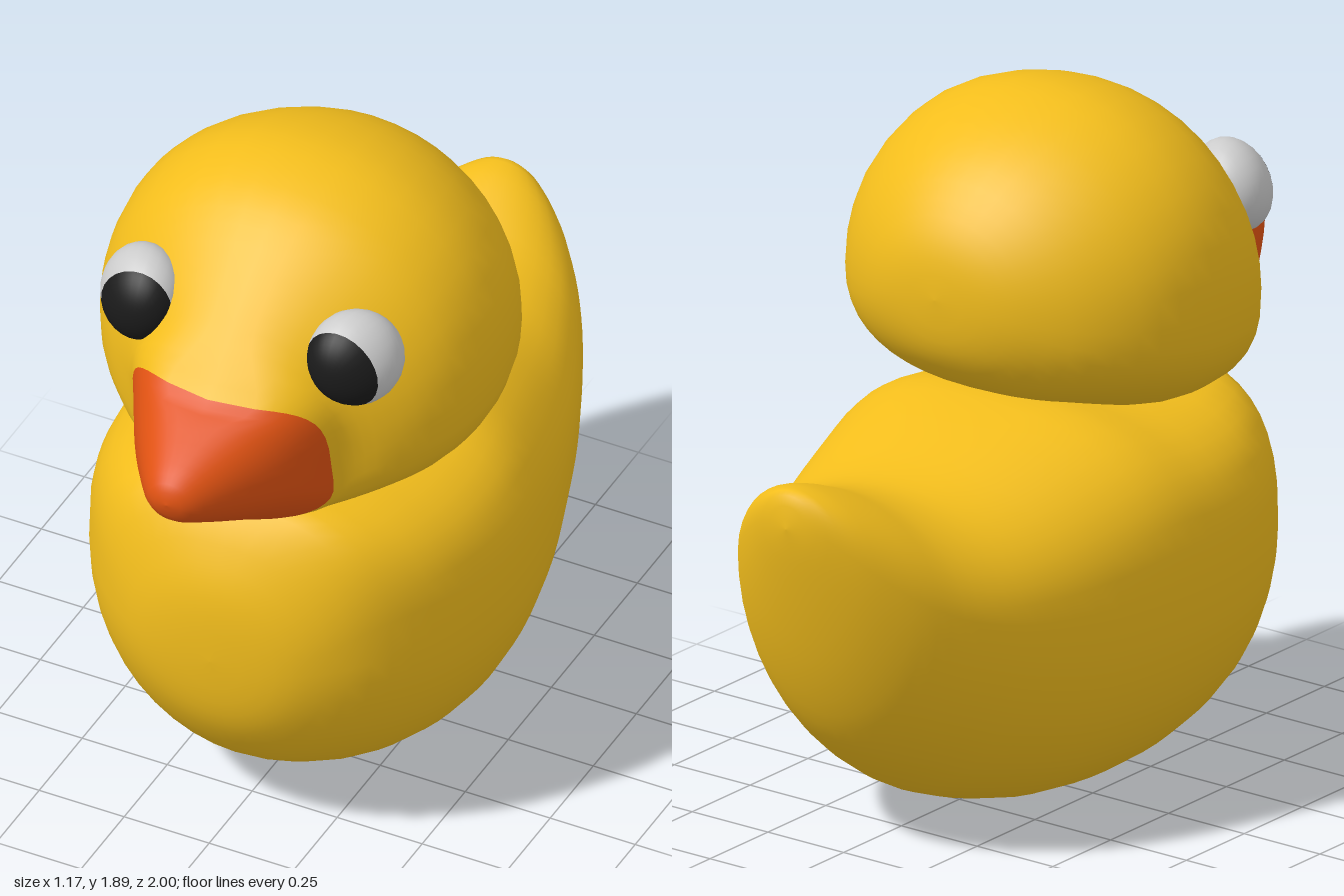
import * as THREE from 'three';

const yellow = new THREE.MeshStandardMaterial({ color: 0xf2bd1c });
const orange = new THREE.MeshStandardMaterial({ color: 0xe05212 });
const white = new THREE.MeshStandardMaterial({ color: 0xdddddd });
const black = new THREE.MeshStandardMaterial({ color: 0x1a1a1a });

const SIDES = 40; // points round a cross-section
const STEPS = 3; // rings per station

// Stations from back to front:
// z, bottom, top, half width, height of widest point, top roundness, bottom roundness, bend
const BODY = [
  [-1.0, 0.98, 0.98, 0, 0.98, 2, 2, 0],
  [-0.985, 0.88, 1.07, 0.09, 0.98, 2, 2, 0],
  [-0.94, 0.7, 1.08, 0.175, 0.92, 2, 2, 0],
  [-0.88, 0.52, 1.068, 0.245, 0.85, 2, 2, 0],
  [-0.8, 0.36, 1.04, 0.31, 0.78, 2, 2, 0],
  [-0.7, 0.245, 1.0, 0.365, 0.72, 2, 2, 0],
  [-0.58, 0.15, 0.975, 0.42, 0.68, 2.1, 2, 0],
  [-0.45, 0.08, 0.99, 0.468, 0.66, 2.2, 2.1, 0],
  [-0.25, 0.02, 1.045, 0.53, 0.65, 2.4, 2.2, 0],
  [-0.05, 0, 1.08, 0.572, 0.65, 2.7, 2.2, 0],
  [0.13, 0.012, 1.05, 0.583, 0.65, 2.9, 2.2, 0],
  [0.3, 0.05, 1.04, 0.56, 0.65, 3, 2.2, 0],
  [0.45, 0.1, 1.045, 0.505, 0.64, 3, 2.1, 0],
  [0.6, 0.2, 1.03, 0.4, 0.63, 2.8, 2, 0],
  [0.7, 0.34, 0.88, 0.265, 0.61, 2.2, 2, 0],
  [0.738, 0.46, 0.75, 0.14, 0.6, 2, 2, 0],
  [0.747, 0.6, 0.6, 0, 0.6, 2, 2, 0],
];
const HEAD = [
  [-0.358, 1.43, 1.43, 0, 1.43, 2, 2, 0],
  [-0.346, 1.31, 1.54, 0.14, 1.42, 2, 2, 0],
  [-0.3, 1.22, 1.645, 0.27, 1.4, 2, 2.2, 0],
  [-0.2, 1.14, 1.76, 0.41, 1.38, 2, 2.4, 0],
  [-0.05, 1.09, 1.845, 0.515, 1.37, 2.1, 2.6, 0],
  [0.13, 1.04, 1.89, 0.555, 1.37, 2.15, 2.75, 0],
  [0.3, 1.03, 1.865, 0.54, 1.36, 2.1, 2.75, 0],
  [0.42, 1.03, 1.805, 0.485, 1.34, 2, 2.7, 0],
  [0.53, 1.03, 1.7, 0.405, 1.3, 2, 2.6, 0.02],
  [0.62, 1.035, 1.59, 0.335, 1.25, 2.4, 2.6, 0.06],
  [0.71, 1.06, 1.48, 0.29, 1.2, 4.5, 2.8, 0.11],
  [0.8, 1.12, 1.445, 0.225, 1.25, 2.8, 2.4, 0.06],
  [0.9, 1.18, 1.4, 0.14, 1.28, 2.2, 2.2, 0.02],
  [0.98, 1.235, 1.35, 0.065, 1.29, 2, 2, 0],
  [1.0, 1.295, 1.295, 0, 1.295, 2, 2, 0],
];
const BEAK_START = 10; // station where the beak colour begins

// Smooth blend of all station values
function blend(stations, t) {
  const i = Math.min(Math.floor(t), stations.length - 2), f = t - i;
  const at = (k) => stations[THREE.MathUtils.clamp(k, 0, stations.length - 1)];
  return at(i).map((b, k) => {
    const a = at(i - 1)[k], c = at(i + 1)[k], d = at(i + 2)[k];
    const m0 = (c - a) / 2, m1 = (d - b) / 2;
    return b + f * (m0 + f * (3 * (c - b) - 2 * m0 - m1 + f * (2 * (b - c) + m0 + m1)));
  });
}

// Closed skin over rounded cross-sections
function loft(stations) {
  const positions = [], rings = (stations.length - 1) * STEPS;
  for (let r = 0; r <= rings; r++) {
    const [z, bottom, top, width, mid, nTop, nBottom, bend] = blend(stations, r / STEPS);
    for (let j = 0; j < SIDES; j++) {
      const a = (j / SIDES) * Math.PI * 2, c = Math.cos(a), s = Math.sin(a);
      const n = s >= 0 ? nTop : nBottom;
      const u = Math.sign(c) * Math.abs(c) ** (2 / n);
      const v = Math.abs(s) ** (2 / n);
      const y = mid + v * ((s >= 0 ? top : bottom) - mid);
      positions.push(u * width, y, z + 1.6 * bend * (y - mid) - bend * u * u);
    }
  }
  const geometry = new THREE.BufferGeometry();
  geometry.setAttribute('position', new THREE.Float32BufferAttribute(positions, 3));
  geometry.setIndex(strip(0, rings));
  geometry.computeVertexNormals();
  return geometry;
}

// Faces between two rings of a loft
function strip(from, to) {
  const index = [];
  for (let r = from; r < to; r++) {
    for (let j = 0; j < SIDES; j++) {
      const k = (j + 1) % SIDES;
      const a = r * SIDES + j, b = r * SIDES + k;
      index.push(a, b, b + SIDES, a, b + SIDES, a + SIDES);
    }
  }
  return index;
}

function addMesh(parent, name, geometry, material) {
  const mesh = new THREE.Mesh(geometry, material);
  mesh.name = name;
  parent.add(mesh);
}

// Flattened, outward-turned eyeball; the pupil is its forward cap
function makeEye(name, side) {
  const eye = new THREE.Group();
  eye.name = name;
  const facing = new THREE.Vector3(0.56 * side, 0.34, 0.75).normalize();
  const turn = new THREE.Quaternion().setFromUnitVectors(new THREE.Vector3(0, 0, 1), facing);
  const rotate = new THREE.Matrix4().makeRotationFromQuaternion(turn);
  const squash = rotate.clone()
    .multiply(new THREE.Matrix4().makeScale(0.13, 0.13, 0.1))
    .multiply(rotate.clone().transpose());
  // Pole placed so that the pupil edge lies in an upright plane facing front
  const pole = new THREE.Vector3(0, 0, 1).applyMatrix4(squash).normalize();
  const aim = new THREE.Quaternion().setFromUnitVectors(new THREE.Vector3(0, 1, 0), pole);
  const cut = 1.08;
  const part = (start, length) =>
    new THREE.SphereGeometry(1, 24, 12, 0, Math.PI * 2, start, length)
      .applyQuaternion(aim).applyMatrix4(squash);
  addMesh(eye, 'pupil', part(0, cut), black);
  addMesh(eye, 'eyeWhite', part(cut, Math.PI - cut), white);
  eye.position.set(0.315 * side, 1.567, 0.52);
  return eye;
}

export function createModel() {
  const duck = new THREE.Group();
  duck.name = 'toyDuck';
  addMesh(duck, 'body', loft(BODY), yellow);

  // Head and beak share one smooth skin
  const head = loft(HEAD);
  const beak = head.clone();
  head.setIndex(strip(0, BEAK_START * STEPS));
  beak.setIndex(strip(BEAK_START * STEPS, (HEAD.length - 1) * STEPS));
  addMesh(duck, 'head', head, yellow);
  addMesh(duck, 'beak', beak, orange);

  duck.add(makeEye('leftEye', 1), makeEye('rightEye', -1));
  return duck;
}
